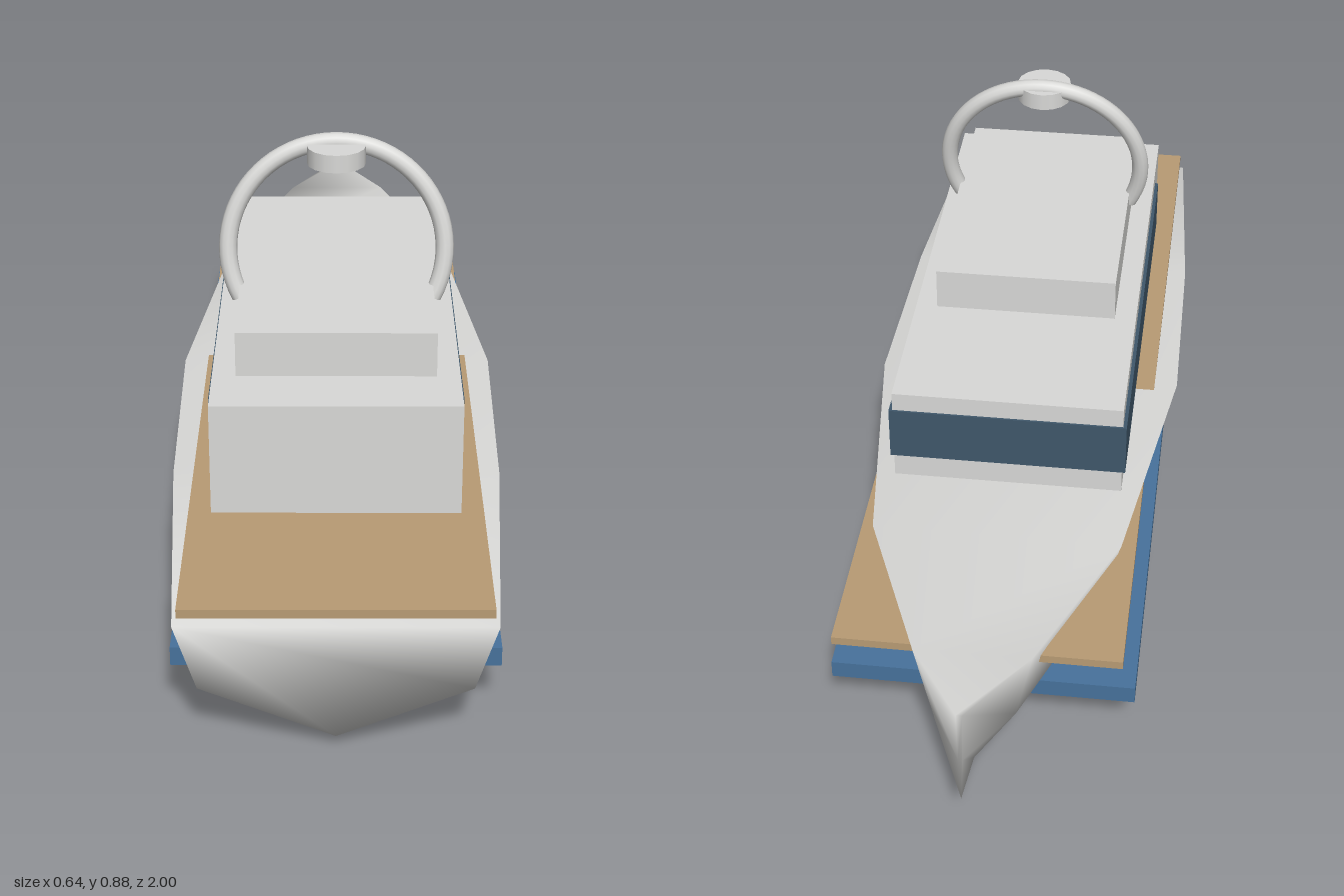
import * as THREE from 'three';

const material = (name, color) => {
  const m = new THREE.MeshStandardMaterial({ color });
  m.name = name;
  return m;
};

// Hull lofted from five-point stations, with a flat deck and closed ends
function hullGeometry() {
  // z, sheer half width, sheer y, chine half width, chine y, keel y
  const stations = [
    [1, 0.28, 0.25, 0.24, 0.125, 0.025],
    [0.5, 0.313, 0.267, 0.272, 0.13, 0.01],
    [0.05, 0.32, 0.284, 0.28, 0.14, 0],
    [-0.5, 0.245, 0.308, 0.2, 0.155, 0.015],
    [-0.84, 0.11, 0.325, 0.08, 0.18, 0.05],
    [-1, 0.006, 0.334, 0.004, 0.22, 0.118],
  ];
  const n = 5;
  const positions = [];
  const index = [];
  for (const [z, sw, sy, cw, cy, ky] of stations) {
    positions.push(-sw, sy, z, -cw, cy, z, 0, ky, z, cw, cy, z, sw, sy, z);
  }
  for (let s = 0; s < stations.length - 1; s++) {
    for (let i = 0; i < n; i++) {
      const a = s * n + i;
      const b = s * n + (i + 1) % n;
      index.push(a, a + n, b, b, a + n, b + n);
    }
  }
  const last = (stations.length - 1) * n;
  for (let i = 1; i < n - 1; i++) {
    index.push(0, i, i + 1);
    index.push(last, last + i + 1, last + i);
  }
  const g = new THREE.BufferGeometry();
  g.setAttribute('position', new THREE.Float32BufferAttribute(positions, 3));
  g.setIndex(index);
  g.computeVertexNormals();
  return g;
}

export function createModel() {
  const model = new THREE.Group();
  model.name = 'motorYacht';
  const white = material('hullWhite', 0xd9d9d7);
  const teak = material('teakDeck', 0xb89b74);
  const blue = material('stripeBlue', 0x47729c);
  const glass = material('windowGlass', 0x40586b);

  const add = (name, geometry, mat, x = 0, y = 0, z = 0) => {
    const mesh = new THREE.Mesh(geometry, mat);
    mesh.name = name;
    mesh.position.set(x, y, z);
    model.add(mesh);
    return mesh;
  };
  // Box given by half width and its y and z limits
  const slab = (name, mat, halfWidth, y0, y1, z0, z1) =>
    add(name, new THREE.BoxGeometry(halfWidth * 2, y1 - y0, z1 - z0), mat, 0, (y0 + y1) / 2, (z0 + z1) / 2);

  add('hull', hullGeometry(), white);
  slab('hullStripe', blue, 0.293, 0.11, 0.147, -0.72, 0.91);
  slab('deck', teak, 0.272, 0.268, 0.285, -0.79, 1);

  // Superstructure
  slab('cabin', white, 0.23, 0.285, 0.505, -0.33, 0.68);
  slab('windowBand', glass, 0.237, 0.352, 0.465, -0.334, 0.575);
  slab('upperDeck', white, 0.186, 0.505, 0.593, -0.025, 0.56);

  // Raked radar arch, open at the bottom
  const arc = Math.PI * 1.3;
  const ring = new THREE.TorusGeometry(0.208, 0.0175, 12, 48, arc);
  ring.rotateZ((Math.PI - arc) / 2);
  add('radarArch', ring, white, 0, 0.66, 0.322).rotation.x = -0.18;
  add('radarDome', new THREE.CylinderGeometry(0.056, 0.056, 0.035, 16), white, 0, 0.847, 0.308);

  return model;
}
